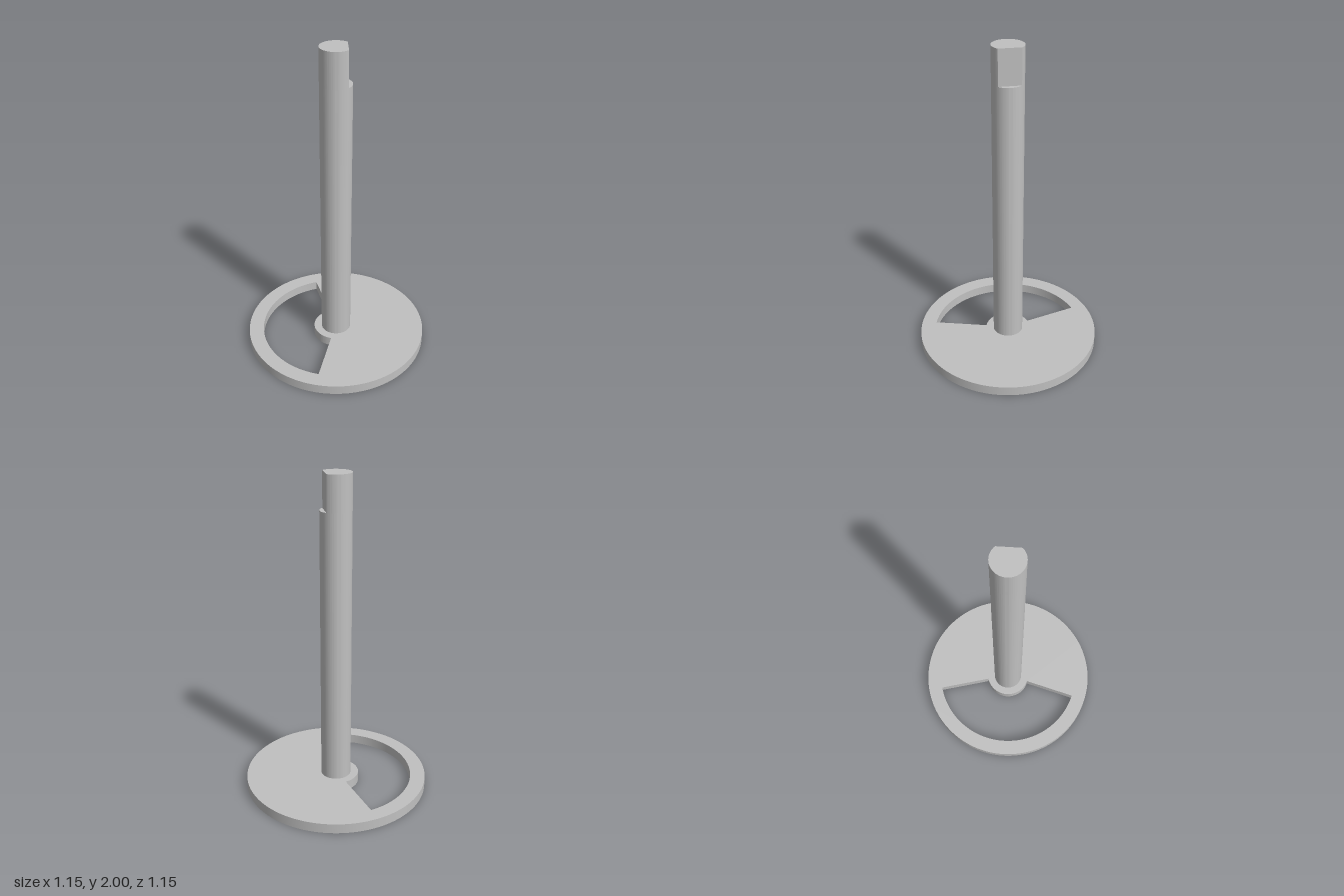
import * as THREE from 'three';
import { toCreasedNormals } from 'three/addons/utils/BufferGeometryUtils.js';

const DISC_R = 0.577, DISC_H = 0.062;
const SHAFT_R = 0.095, FLAT_X = 0.067, FLAT_Y = 1.785, TOP_Y = 2;

const steel = new THREE.MeshStandardMaterial({ color: 0xc0c0c0 });
steel.name = 'grey metal';

// Extrudes a plan shape upward from y0 to y1, smooth around its curves
function plate(name, shape, y0, y1) {
  let geo = new THREE.ExtrudeGeometry(shape, { depth: y1 - y0, bevelEnabled: false, curveSegments: 96 });
  geo.rotateX(-Math.PI / 2).translate(0, y0, 0);
  geo = toCreasedNormals(geo, Math.PI / 7);
  const mesh = new THREE.Mesh(geo, steel);
  mesh.name = name;
  return mesh;
}

function circle(r) {
  return new THREE.Shape().absarc(0, 0, r, 0, Math.PI * 2, false);
}

export function createModel() {
  const model = new THREE.Group();
  model.name = 'slottedDiscShaft';

  // Disc with a 150 degree window between the rim and the hub
  const disc = circle(DISC_R);
  const a = THREE.MathUtils.degToRad(105), b = THREE.MathUtils.degToRad(255);
  const slot = new THREE.Path();
  slot.absarc(0, 0, 0.483, a, b, false);
  slot.absarc(0, 0, 0.144, b, a, true);
  slot.closePath();
  disc.holes.push(slot);
  model.add(plate('disc', disc, 0, DISC_H));

  // Round shaft
  model.add(plate('shaft', circle(SHAFT_R), DISC_H, FLAT_Y));

  // D-shaped shaft end with the flat facing +x
  const t = Math.acos(FLAT_X / SHAFT_R);
  const dShape = new THREE.Shape();
  dShape.absarc(0, 0, SHAFT_R, t, Math.PI * 2 - t, false);
  dShape.closePath();
  model.add(plate('shaftFlatEnd', dShape, FLAT_Y, TOP_Y));

  return model;
}
